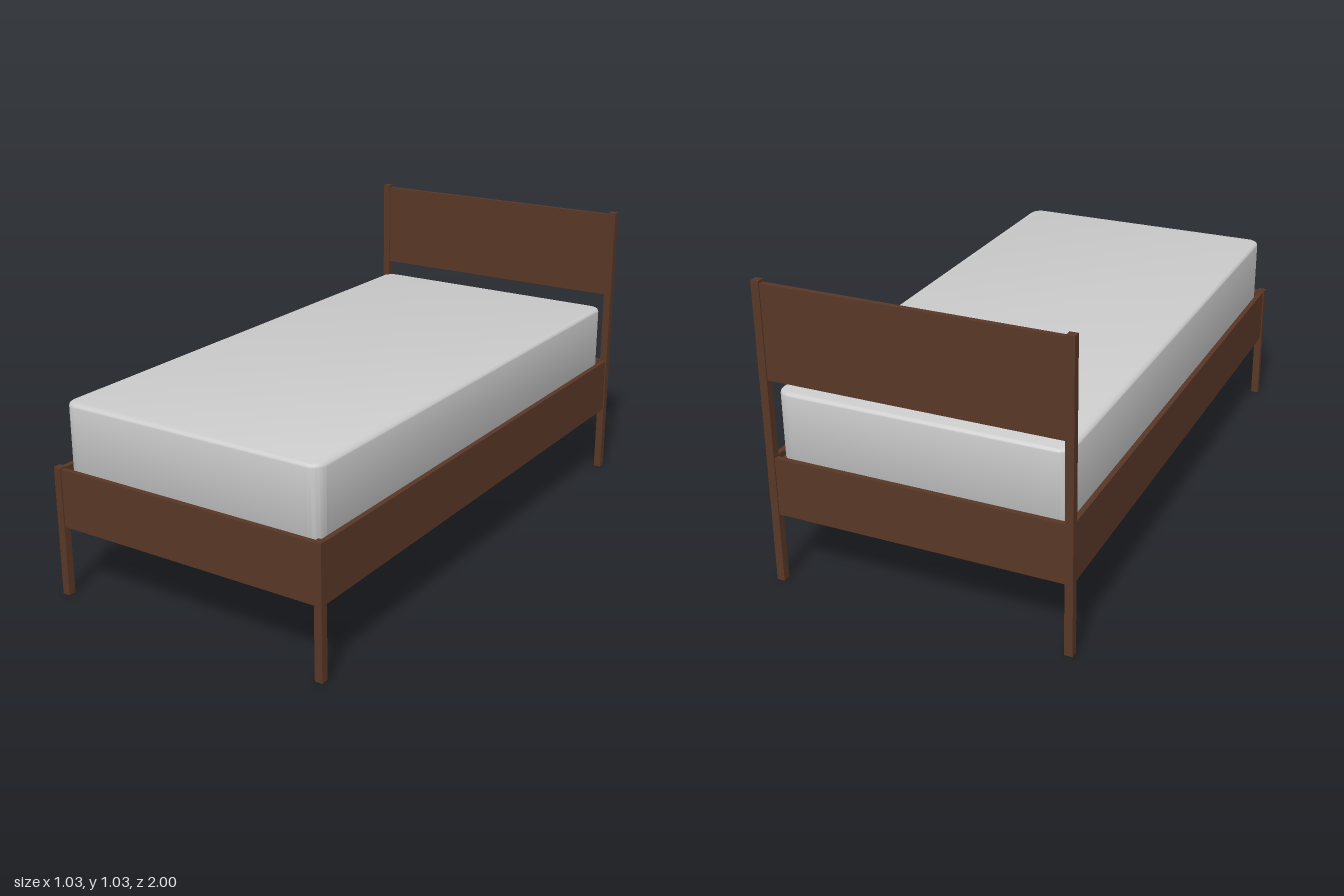
import * as THREE from 'three';
import { toCreasedNormals } from 'three/addons/utils/BufferGeometryUtils.js';

const W = 0.517, L = 1, POST = 0.027; // half width, half length, post thickness

export function createModel() {
  const bed = new THREE.Group();
  bed.name = 'bed';
  const wood = new THREE.MeshStandardMaterial({ color: 0x583726 });
  const cloth = new THREE.MeshStandardMaterial({ color: 0xcccccc });

  const board = (name, w, d, y0, y1, x, z) => {
    const mesh = new THREE.Mesh(new THREE.BoxGeometry(w, y1 - y0, d), wood);
    mesh.position.set(x, (y0 + y1) / 2, z);
    mesh.name = name;
    bed.add(mesh);
  };

  // Corner posts and side rails, mirrored left and right
  const px = W - POST / 2, pz = L - POST / 2;
  for (const [side, s] of [['left', 1], ['right', -1]]) {
    board(side + 'FrontPost', POST, POST, 0, 0.45, s * px, pz);
    board(side + 'BackPost', POST, POST, 0, 1.035, s * px, -pz);
    board(side + 'Rail', 0.018, 2 * (L - POST), 0.245, 0.445, s * px, 0);
  }

  // End boards, headboard panel and the base under the mattress
  const span = 2 * (W - POST);
  board('footRail', span, 0.018, 0.245, 0.445, 0, pz);
  board('headRail', span, 0.018, 0.245, 0.445, 0, -pz);
  board('headboard', span, 0.018, 0.713, 1.027, 0, -pz);
  board('base', 2 * px - 0.018, 2 * pz - 0.018, 0.405, 0.425, 0, 0);

  // Mattress: rounded rectangle with softened top and bottom edges
  const bevel = 0.012, hx = 0.489 - bevel, hz = 0.968 - bevel, r = 0.035;
  const shape = new THREE.Shape();
  shape.moveTo(hx, -hz + r);
  shape.absarc(hx - r, hz - r, r, 0, Math.PI / 2);
  shape.absarc(-hx + r, hz - r, r, Math.PI / 2, Math.PI);
  shape.absarc(-hx + r, -hz + r, r, Math.PI, Math.PI * 1.5);
  shape.absarc(hx - r, -hz + r, r, Math.PI * 1.5, Math.PI * 2);
  const y0 = 0.425, y1 = 0.665;
  const geometry = new THREE.ExtrudeGeometry(shape, {
    depth: y1 - y0 - 2 * bevel, bevelSize: bevel, bevelThickness: bevel,
    bevelSegments: 4, curveSegments: 8,
  });
  geometry.rotateX(-Math.PI / 2);
  const mattress = new THREE.Mesh(toCreasedNormals(geometry, 0.6), cloth);
  mattress.position.y = y0 + bevel;
  mattress.name = 'mattress';
  bed.add(mattress);

  return bed;
}
